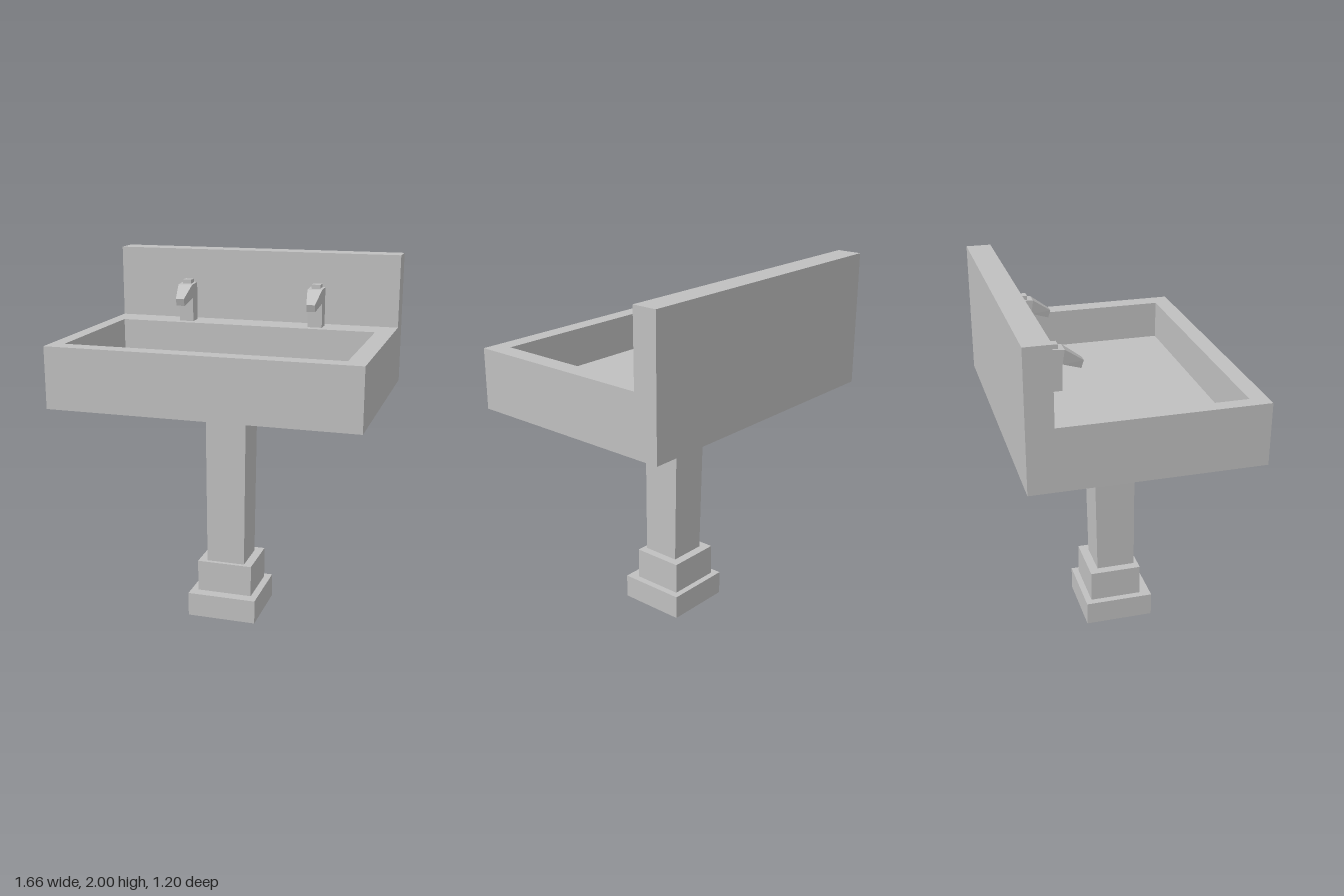
import * as THREE from 'three';

const porcelain = new THREE.MeshStandardMaterial({ color: 0xc0c0c0 });
porcelain.name = 'greyPorcelain';

function addMesh(parent, name, geometry) {
  const mesh = new THREE.Mesh(geometry, porcelain);
  mesh.name = name;
  parent.add(mesh);
  return mesh;
}

// Four-sided block from y0 to y1; each rectangle is [xMin, xMax, zMin, zMax].
function block(y0, y1, bottom, top = bottom) {
  const geometry = new THREE.BoxGeometry(1, 1, 1).toNonIndexed();
  const p = geometry.attributes.position;
  for (let i = 0; i < p.count; i++) {
    const upper = p.getY(i) > 0;
    const r = upper ? top : bottom;
    p.setXYZ(i, r[p.getX(i) > 0 ? 1 : 0], upper ? y1 : y0, r[p.getZ(i) > 0 ? 3 : 2]);
  }
  geometry.computeVertexNormals();
  return geometry;
}

// Side profile of [z, y] points, extruded to a width centred on x = 0.
function sideProfile(points, width) {
  const shape = new THREE.Shape(points.map(([z, y]) => new THREE.Vector2(z, y)));
  const geometry = new THREE.ExtrudeGeometry(shape, { depth: width, bevelEnabled: false });
  return geometry.translate(0, 0, -width / 2).rotateY(-Math.PI / 2);
}

function rectangle(PathType, [x0, x1, z0, z1]) {
  return new PathType([[x0, -z1], [x1, -z1], [x1, -z0], [x0, -z0]].map(([x, y]) => new THREE.Vector2(x, y)));
}

function createTap(x) {
  const tap = new THREE.Group();
  tap.name = x > 0 ? 'leftTap' : 'rightTap';
  const width = 0.083;
  addMesh(tap, 'tapStem', sideProfile(
    [[-0.41, 1.597], [-0.335, 1.597], [-0.332, 1.735], [-0.32, 1.81], [-0.41, 1.816]], width));

  // The spout narrows towards its tip.
  const spout = sideProfile([[-0.332, 1.735], [-0.235, 1.70], [-0.222, 1.74], [-0.32, 1.81]], width);
  const p = spout.attributes.position;
  for (let i = 0; i < p.count; i++) {
    if (p.getZ(i) > -0.3) p.setX(i, p.getX(i) * 0.58);
  }
  spout.computeVertexNormals();
  addMesh(tap, 'tapSpout', spout);

  addMesh(tap, 'tapButton', block(1.805, 1.835, [-0.025, 0.025, -0.405, -0.35]));
  tap.position.x = x;
  return tap;
}

export function createModel() {
  const sink = new THREE.Group();
  sink.name = 'pedestalSink';

  // Pedestal
  addMesh(sink, 'pedestalBase', block(0, 0.135, [-0.196, 0.194, -0.165, 0.222]));
  addMesh(sink, 'pedestalCollar', block(0.135, 0.313, [-0.157, 0.155, -0.13, 0.161]));
  addMesh(sink, 'pedestalColumn', block(0.313, 1.265,
    [-0.108, 0.108, -0.08, 0.138], [-0.115, 0.114, -0.1, 0.132]));

  // Basin: solid floor below a rim with a rectangular opening
  const outline = [-0.83, 0.83, -0.602, 0.602];
  const floorY = 1.385;
  const rimY = 1.597;
  addMesh(sink, 'basinFloor', block(1.265, floorY, outline));
  const rimShape = rectangle(THREE.Shape, outline);
  rimShape.holes.push(rectangle(THREE.Path, [-0.755, 0.73, -0.285, 0.51]));
  const rim = new THREE.ExtrudeGeometry(rimShape, { depth: rimY - floorY, bevelEnabled: false });
  addMesh(sink, 'basinRim', rim.rotateX(-Math.PI / 2).translate(0, floorY, 0));

  // Splashback along the rear edge
  addMesh(sink, 'splashback', block(rimY, 2, [-0.83, 0.83, -0.602, -0.465]));

  for (const x of [-0.384, 0.379]) sink.add(createTap(x));
  return sink;
}
